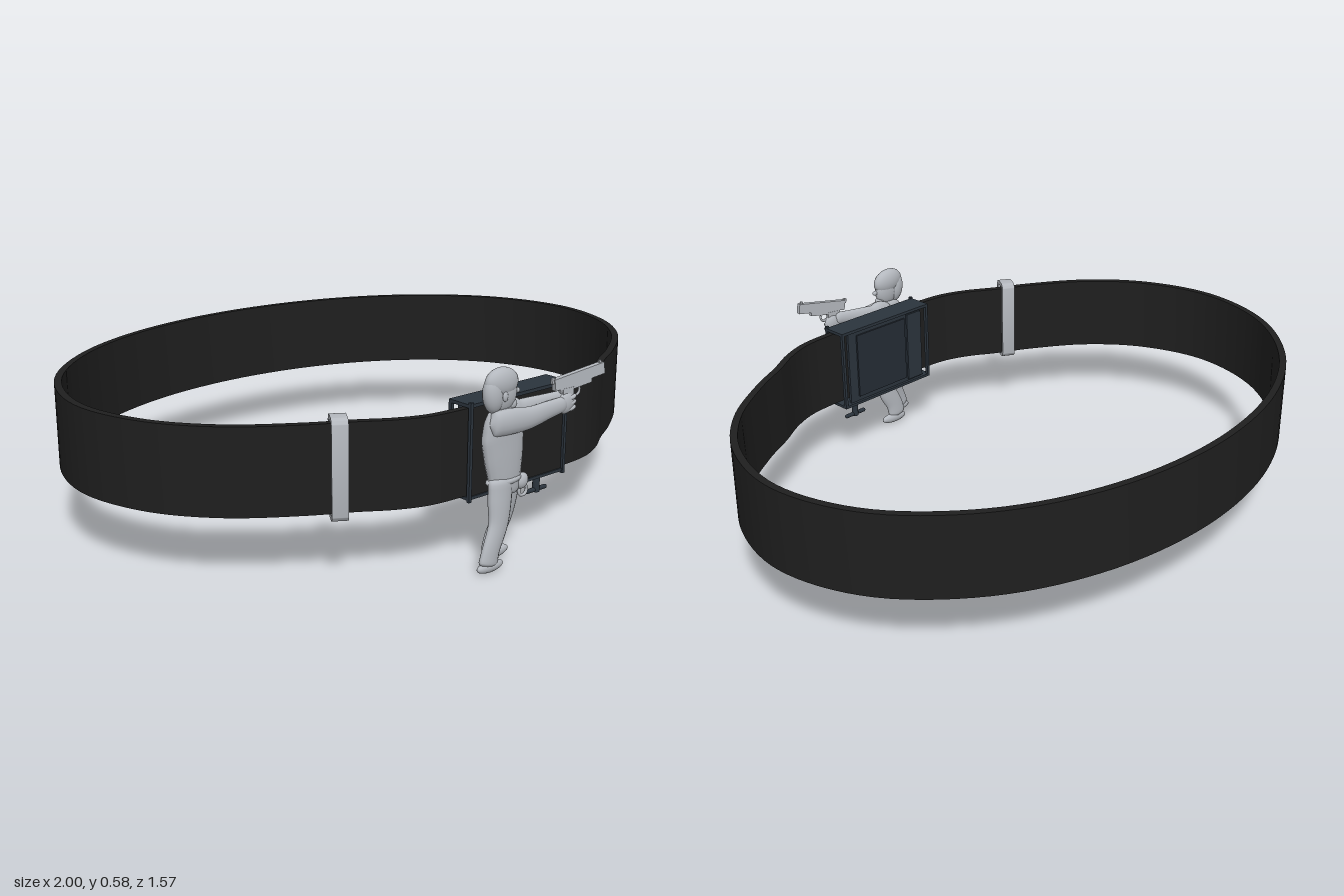
import * as THREE from 'three';
import { toCreasedNormals } from 'three/addons/utils/BufferGeometryUtils.js';

const mat = (name, color) => {
  const m = new THREE.MeshStandardMaterial({ color });
  m.name = name;
  return m;
};

export function createModel() {
  const root = new THREE.Group();
  const leather = mat('black leather', 0x1f1f1f);
  const slate = mat('dark slate metal', 0x2b343d);
  const panel = mat('slate panel', 0x252c35);
  const silver = mat('silver grey', 0xb4b8be);

  const add = (name, geo, m, pos = [0, 0, 0], parent = root) => {
    const mesh = new THREE.Mesh(geo, m);
    mesh.name = name;
    mesh.position.set(...pos);
    parent.add(mesh);
    return mesh;
  };
  const box = (name, m, x0, x1, y0, y1, z0, z1, parent) => add(name,
    new THREE.BoxGeometry(x1 - x0, y1 - y0, z1 - z0), m,
    [(x0 + x1) / 2, (y0 + y1) / 2, (z0 + z1) / 2], parent);

  // Belt: a closed strap, mirrored about x = 0, offset to both sides of its centre line
  const half = [[0.2, 0.652], [0.32, 0.64], [0.41, 0.605], [0.5, 0.55], [0.62, 0.485], [0.8, 0.355],
    [0.93, 0.18], [0.988, -0.06], [0.91, -0.33], [0.69, -0.565], [0.38, -0.715]];
  const loopPts = [[0, 0.652], ...half, [0, -0.77],
    ...half.slice().reverse().map(([x, z]) => [-x, z])];
  const line = new THREE.CatmullRomCurve3(loopPts.map(([x, z]) => new THREE.Vector3(x, -z, 0)), true);
  const offset = (d) => Array.from({ length: 180 }, (_, i) => {
    const p = line.getPoint(i / 180), t = line.getTangent(i / 180);
    return new THREE.Vector2(p.x + t.y * d, p.y - t.x * d);
  });
  const strap = new THREE.Shape(offset(0.011));
  strap.holes.push(new THREE.Path(offset(-0.011)));
  const strapGeo = new THREE.ExtrudeGeometry(strap, { depth: 0.255, bevelEnabled: false });
  strapGeo.rotateX(-Math.PI / 2);
  add('beltStrap', toCreasedNormals(strapGeo, 0.6), leather, [0, 0.2, 0]);

  // Keeper loop: a rounded ring around the strap
  const rounded = (P, w, h, r) => {
    const s = new P(), x = w / 2, y = h / 2;
    s.absarc(x - r, y - r, r, 0, Math.PI / 2);
    s.absarc(r - x, y - r, r, Math.PI / 2, Math.PI);
    s.absarc(r - x, r - y, r, Math.PI, Math.PI * 1.5);
    s.absarc(x - r, r - y, r, Math.PI * 1.5, Math.PI * 2);
    s.closePath();
    return s;
  };
  const ring = rounded(THREE.Shape, 0.078, 0.29, 0.022);
  ring.holes.push(rounded(THREE.Path, 0.05, 0.262, 0.01));
  const ringGeo = new THREE.ExtrudeGeometry(ring, { depth: 0.046, bevelEnabled: false, curveSegments: 6 });
  ringGeo.translate(0, 0, -0.023);
  add('keeperLoop', toCreasedNormals(ringGeo, 0.6), silver, [-0.545, 0.33, 0.535]).rotation.y = 1.02;

  // Buckle: top and bottom plates, rims and rear panel, open at the sides for the strap
  const buckle = new THREE.Group();
  buckle.name = 'buckle';
  root.add(buckle);
  for (const [y0, y1] of [[0.19, 0.199], [0.458, 0.468]])
    box('buckleEdgePlate', slate, -0.198, 0.198, y0, y1, 0.592, 0.676, buckle);
  for (const x of [-0.193, 0.193]) {
    box('frontRim', slate, x - 0.005, x + 0.005, 0.184, 0.474, 0.67, 0.68, buckle);
    box('rearRim', slate, x - 0.005, x + 0.005, 0.19, 0.468, 0.592, 0.603, buckle);
  }
  box('rearPlate', slate, -0.165, 0.165, 0.199, 0.458, 0.602, 0.612, buckle);
  box('rearPanel', panel, -0.09, 0.13, 0.215, 0.442, 0.596, 0.603, buckle);
  box('rearStrip', slate, -0.165, -0.1, 0.205, 0.452, 0.595, 0.603, buckle);
  box('frontPlate', leather, -0.188, 0.188, 0.199, 0.458, 0.664, 0.672, buckle);

  // Release pin with a cross handle
  add('pinShaft', new THREE.CylinderGeometry(0.011, 0.011, 0.07, 16), slate, [0.125, 0.165, 0.635], buckle);
  const handle = add('pinHandle', new THREE.CapsuleGeometry(0.007, 0.076, 4, 10), slate,
    [0.125, 0.137, 0.635], buckle);
  handle.rotation.z = Math.PI / 2;

  // Posts carrying the figure
  for (const y of [0.285, 0.372]) {
    const post = add('mountPost', new THREE.CylinderGeometry(0.018, 0.018, 0.06, 16), slate, [-0.085, y, 0.695], buckle);
    post.rotation.x = Math.PI / 2;
  }

  // Figure
  const figure = new THREE.Group();
  figure.name = 'figure';
  root.add(figure);

  // Lofts ellipses [x, y, z, in-plane radius, z radius] along a path, with rounded ends
  const loft = (name, rows, m = silver) => {
    const at = (k) => new THREE.CatmullRomCurve3(rows.map((r) => new THREE.Vector3(...(k ? [r[3], r[4], 0] : r.slice(0, 3)))));
    const path = at(0), radii = at(1), n = 24, sides = 16, pos = [], idx = [];
    for (let i = 0; i <= n; i++) {
      const u = i / n, p = path.getPoint(u), t = path.getTangent(u), r = radii.getPoint(u);
      const l = Math.hypot(t.x, t.y), e = Math.sqrt(Math.max(0, 1 - Math.max(0, Math.abs(2 * u - 1) - 0.85) ** 2 / 0.0225));
      for (let j = 0; j < sides; j++) {
        const a = (j / sides) * Math.PI * 2, c = Math.cos(a) * r.x * e;
        pos.push(p.x - (t.y / l) * c, p.y + (t.x / l) * c, p.z + Math.sin(a) * r.y * e);
        if (i < n) {
          const k = i * sides + j, q = i * sides + (j + 1) % sides;
          idx.push(k, q, k + sides, q, q + sides, k + sides);
        }
      }
    }
    const g = new THREE.BufferGeometry();
    g.setAttribute('position', new THREE.Float32BufferAttribute(pos, 3));
    g.setIndex(idx);
    g.computeVertexNormals();
    return add(name, g, silver, [0, 0, 0], figure);
  };
  const blob = (name, x, y, z, rx, ry, rz, tilt = 0) => {
    const b = add(name, new THREE.SphereGeometry(1, 20, 14), silver, [x, y, z], figure);
    b.scale.set(rx, ry, rz);
    b.rotation.z = tilt;
    return b;
  };

  // Torso, belt line and neck
  loft('torso', [[-0.115, 0.2, 0.73, 0.058, 0.02], [-0.112, 0.25, 0.73, 0.06, 0.024], [-0.118, 0.32, 0.73, 0.072, 0.027],
    [-0.125, 0.38, 0.73, 0.077, 0.028], [-0.135, 0.43, 0.732, 0.062, 0.026], [-0.14, 0.47, 0.735, 0.035, 0.018]]);
  blob('jacketHem', -0.115, 0.25, 0.73, 0.066, 0.016, 0.029);

  // Legs and shoes
  loft('nearLeg', [[-0.135, 0.27, 0.738, 0.045, 0.02], [-0.14, 0.2, 0.742, 0.043, 0.021],
    [-0.15, 0.13, 0.748, 0.036, 0.018], [-0.183, 0.06, 0.754, 0.033, 0.015], [-0.195, 0.015, 0.755, 0.037, 0.015]]);
  loft('farLeg', [[-0.09, 0.27, 0.72, 0.043, 0.02], [-0.082, 0.2, 0.712, 0.042, 0.021],
    [-0.088, 0.13, 0.704, 0.037, 0.018], [-0.115, 0.07, 0.698, 0.035, 0.015], [-0.125, 0.02, 0.695, 0.037, 0.014]]);
  blob('nearShoe', -0.185, 0.017, 0.755, 0.05, 0.017, 0.014);
  blob('farShoe', -0.108, 0.019, 0.695, 0.055, 0.018, 0.014, 0.05);

  // Head with hair cap, back hair and face
  blob('head', -0.133, 0.503, 0.735, 0.05, 0.053, 0.022);
  blob('hairCap', -0.14, 0.535, 0.735, 0.061, 0.043, 0.026, -0.1);
  blob('backHair', -0.172, 0.505, 0.735, 0.033, 0.053, 0.024, 0.15);
  blob('nose', -0.082, 0.503, 0.737, 0.012, 0.008, 0.007);
  blob('chin', -0.103, 0.468, 0.736, 0.022, 0.017, 0.014);
  blob('ear', -0.145, 0.5, 0.756, 0.01, 0.014, 0.005);

  // Arms reaching forward to both hands
  loft('nearArm', [[-0.19, 0.425, 0.745, 0.035, 0.018], [-0.13, 0.425, 0.752, 0.038, 0.02],
    [-0.05, 0.422, 0.757, 0.033, 0.017], [0.03, 0.43, 0.758, 0.027, 0.014], [0.1, 0.438, 0.762, 0.022, 0.012]]);
  loft('farArm', [[-0.13, 0.43, 0.714, 0.032, 0.016], [-0.05, 0.437, 0.722, 0.032, 0.016],
    [0.03, 0.447, 0.738, 0.025, 0.013], [0.1, 0.455, 0.752, 0.02, 0.012]]);
  blob('hands', 0.1, 0.438, 0.757, 0.036, 0.033, 0.016, 0.3);
  for (let i = 0; i < 3; i++) blob('finger', 0.115, 0.42 + i * 0.016, 0.764, 0.02, 0.008, 0.009, 0.15);

  // Pistol held in the hands
  const pistol = new THREE.Group();
  pistol.name = 'pistol';
  pistol.position.set(0.14, 0.503, 0.763);
  pistol.rotation.set(0, -0.14, 0.15);
  figure.add(pistol);
  box('slide', silver, -0.088, 0.094, -0.012, 0.022, -0.008, 0.008, pistol);
  box('lowerFrame', silver, -0.07, 0.045, -0.024, -0.01, -0.007, 0.007, pistol);
  box('frontSight', silver, 0.08, 0.088, 0.02, 0.029, -0.003, 0.003, pistol);
  box('hammer', silver, -0.095, -0.083, 0.01, 0.026, -0.004, 0.004, pistol);
  box('grip', silver, -0.065, -0.027, -0.085, -0.015, -0.008, 0.008, pistol).rotation.z = -0.12;
  add('triggerGuard', new THREE.TorusGeometry(0.015, 0.004, 6, 14), silver, [-0.012, -0.033, 0], pistol);

  // Holster at the hip
  blob('holster', -0.052, 0.235, 0.74, 0.022, 0.024, 0.014, -0.5);
  add('holsterRing', new THREE.TorusGeometry(0.016, 0.005, 6, 14), silver, [-0.045, 0.205, 0.738], figure);

  return root;
}
